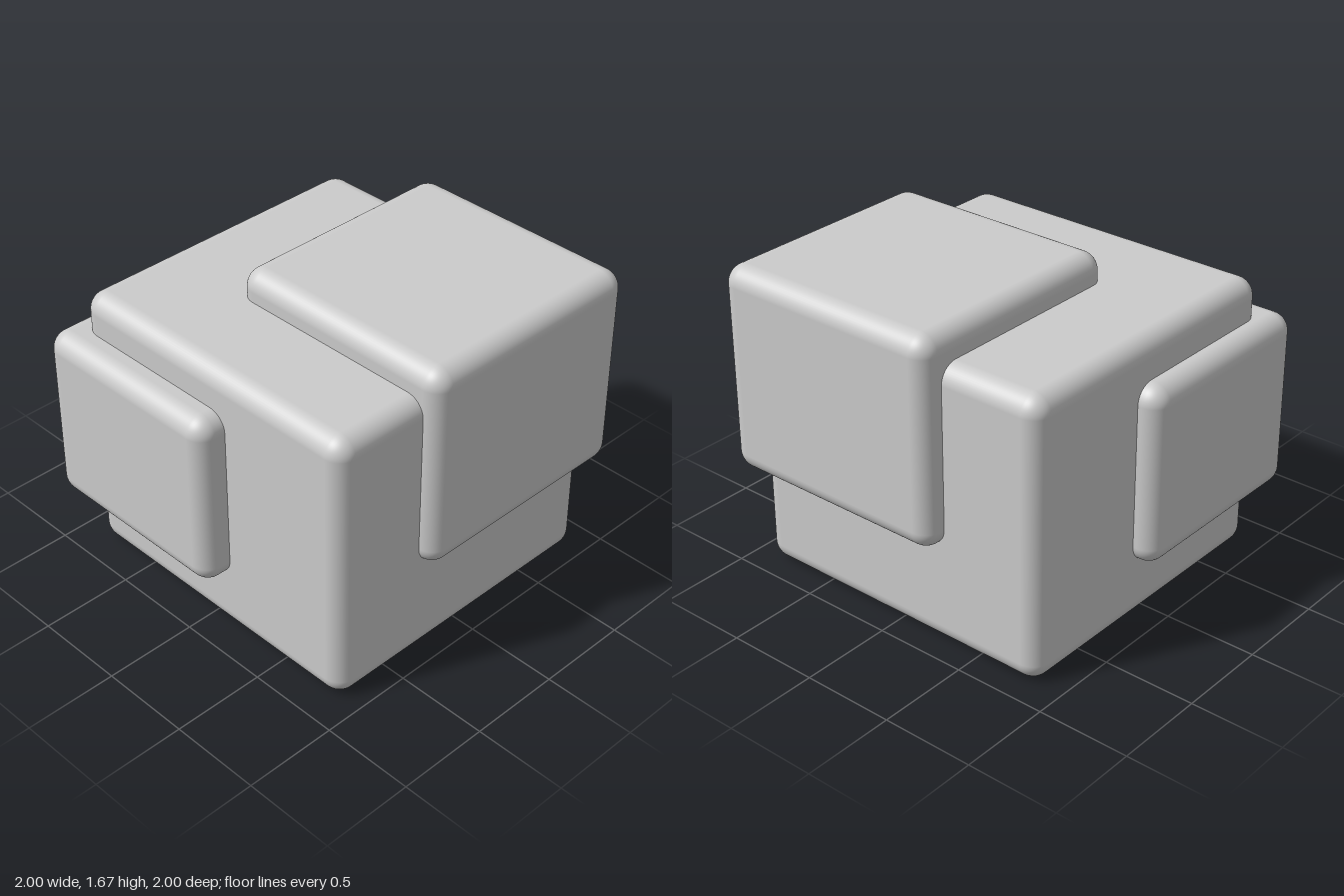
import * as THREE from 'three';
import { RoundedBoxGeometry } from 'three/addons/geometries/RoundedBoxGeometry.js';

export function createModel() {
  const model = new THREE.Group();
  model.name = 'interlockedBlocks';
  const material = new THREE.MeshStandardMaterial({ color: 0xcccccc });

  // Rounded block spanning two opposite corners
  function addBlock(name, min, max, radius = 0.1) {
    const box = new THREE.Box3(new THREE.Vector3(...min), new THREE.Vector3(...max));
    const size = box.getSize(new THREE.Vector3());
    const mesh = new THREE.Mesh(new RoundedBoxGeometry(size.x, size.y, size.z, 6, radius), material);
    box.getCenter(mesh.position);
    mesh.name = name;
    model.add(mesh);
  }

  // Large central block
  addBlock('mainBlock', [-0.845, 0, -0.88], [0.885, 1.52, 0.91]);
  // Raised block on the front left corner
  addBlock('frontBlock', [-0.32, 0.555, -0.32], [1, 1.675, 1]);
  // Smaller block on the back right corner
  addBlock('backBlock', [-1, 0.33, -1], [0.15, 1.305, 0.15]);

  return model;
}
